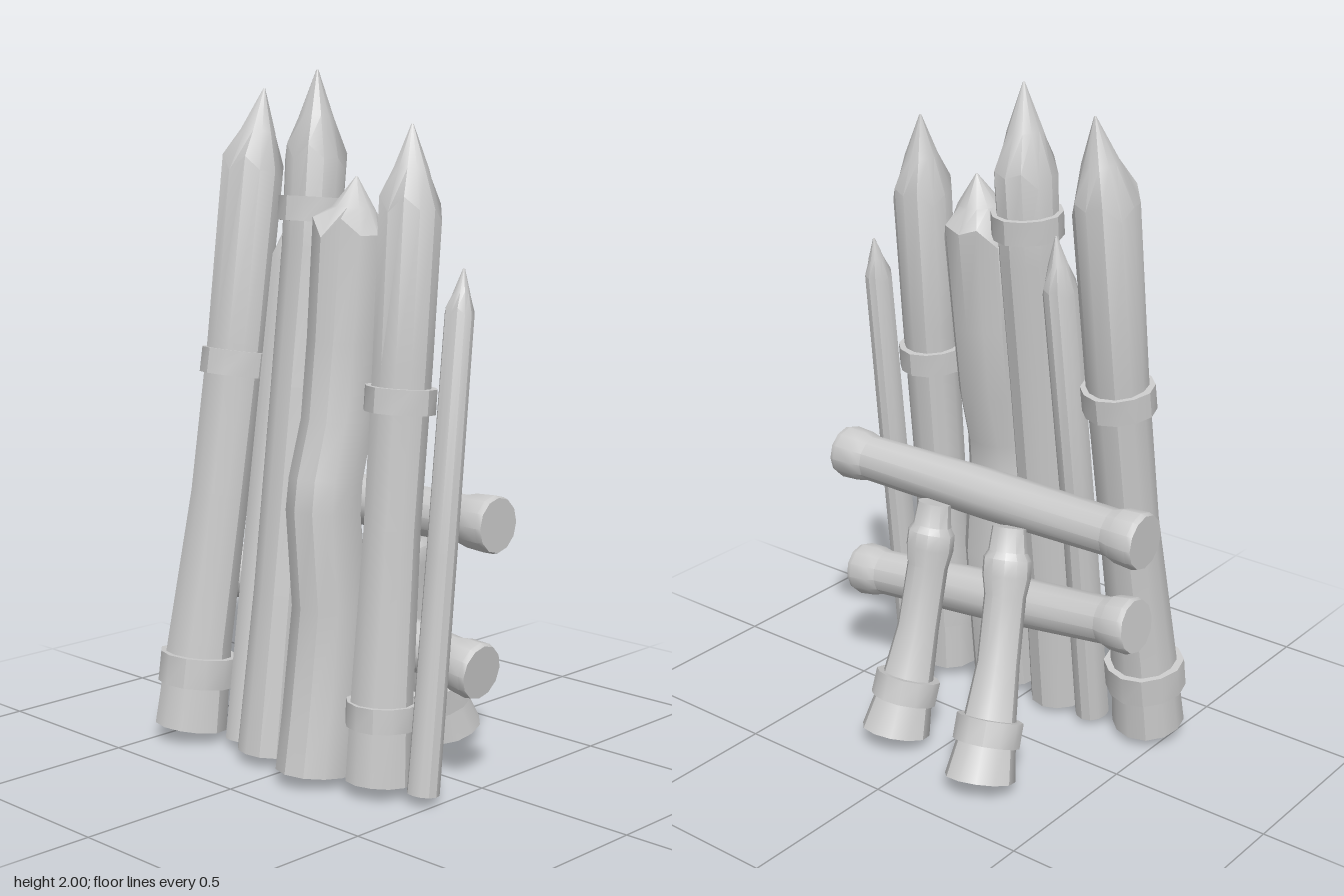
import * as THREE from 'three';
import { toCreasedNormals } from 'three/addons/utils/BufferGeometryUtils.js';

const SIDES = 12;
const UP = new THREE.Vector3(0, 1, 0);
const material = new THREE.MeshStandardMaterial({ color: 0xcccccc });

// Loft round sections [x, y, z, radius] along one axis; both ends are capped.
// wobble(angle) scales the radius, lift(ring, side) shifts a vertex along the axis.
function loft(sections, wobble = () => 1, lift = () => 0) {
  const centre = (s) => new THREE.Vector3(s[0], s[1], s[2]);
  const first = sections[0], last = sections[sections.length - 1];
  const axis = centre(last).sub(centre(first)).normalize();
  const turn = new THREE.Quaternion().setFromUnitVectors(UP, axis);
  const pos = [], index = [];
  sections.forEach((s, i) => {
    for (let j = 0; j < SIDES; j++) {
      const a = (j / SIDES) * Math.PI * 2, r = s[3] * wobble(a);
      const v = new THREE.Vector3(Math.sin(a) * r, lift(i, j), Math.cos(a) * r);
      pos.push(...v.applyQuaternion(turn).add(centre(s)).toArray());
    }
  });
  for (let i = 0; i < sections.length - 1; i++) {
    for (let j = 0; j < SIDES; j++) {
      const a = i * SIDES + j, b = i * SIDES + (j + 1) % SIDES;
      index.push(a, b, b + SIDES, a, b + SIDES, a + SIDES);
    }
  }
  const n = sections.length * SIDES, top = n - SIDES;
  pos.push(...centre(first).toArray(), ...centre(last).toArray());
  for (let j = 0; j < SIDES; j++) {
    const k = (j + 1) % SIDES;
    index.push(n, k, j, n + 1, top + j, top + k);
  }
  const geo = new THREE.BufferGeometry();
  geo.setAttribute('position', new THREE.Float32BufferAttribute(pos, 3));
  geo.setIndex(index);
  return toCreasedNormals(geo, 0.56);
}

function add(parent, name, geo) {
  const mesh = new THREE.Mesh(geo, material);
  mesh.name = name;
  parent.add(mesh);
}

// Binding ring around a path at height y, following its lean
function band(parent, path, y, h, r) {
  const i = Math.max(1, path.findIndex((s) => s[1] >= y));
  const a = new THREE.Vector3(...path[i - 1]), b = new THREE.Vector3(...path[i]);
  const mid = a.clone().lerp(b, (y - a.y) / (b.y - a.y));
  const dir = b.sub(a).normalize().multiplyScalar(h / 2);
  const p = mid.clone().sub(dir).toArray(), q = mid.clone().add(dir).toArray();
  add(parent, 'band', loft([[...p, r], [...q, r]], (t) => 1 + 0.02 * Math.sin(4 * t + y)));
}

// Sharpened stake: body sections, a carved tip and optional bands [y, height, radius]
function stake(parent, name, body, tip, bands = []) {
  const group = new THREE.Group();
  group.name = name;
  const end = body[body.length - 1], shoulder = body.length - 1;
  const mid = [0, 1, 2].map((k) => end[k] + (tip[k] - end[k]) * 0.5);
  // Carved facets: every second shoulder vertex sits higher, tilted to one side
  const cut = (i, j) => (i === shoulder ? end[3] * (0.3 * (j % 2) + 0.2 * Math.sin(j * 1.3)) : 0);
  add(group, 'stakeBody', loft([...body, [...mid, end[3] * 0.56], [...tip, 0.003]],
    (a) => 1 + 0.025 * Math.sin(3 * a + tip[0] * 9), cut));
  bands.forEach(([y, h, r]) => band(group, body, y, h, r));
  parent.add(group);
}

export function createModel() {
  const model = new THREE.Group();
  model.name = 'palisade';

  // Row of stakes leaning back
  stake(model, 'outerStake',
    [[-0.43, 0.04, 0.27, 0.11], [-0.425, 0.3, 0.235, 0.098], [-0.405, 0.75, 0.165, 0.088],
      [-0.395, 1.2, 0.1, 0.09], [-0.382, 1.7, 0.045, 0.094]],
    [-0.36, 1.95, 0.015], [[0.215, 0.09, 0.12], [1.14, 0.075, 0.107]]);
  stake(model, 'thinStake',
    [[-0.25, 0.025, 0.225, 0.052], [-0.25, 0.7, 0.135, 0.05], [-0.24, 1.44, 0.035, 0.05]],
    [-0.235, 1.6, 0.02]);
  stake(model, 'tallStake',
    [[-0.11, 0.03, 0.25, 0.093], [-0.107, 0.5, 0.195, 0.084], [-0.103, 1.1, 0.125, 0.084],
      [-0.1, 1.5, 0.078, 0.086], [-0.1, 1.74, 0.058, 0.09]],
    [-0.09, 2.0, 0.06], [[1.605, 0.07, 0.105]]);
  stake(model, 'bulgingStake',
    [[0.112, 0.035, 0.28, 0.115], [0.11, 0.2, 0.255, 0.112], [0.11, 0.5, 0.22, 0.108],
      [0.11, 0.78, 0.242, 0.108], [0.108, 0.87, 0.23, 0.106], [0.108, 1.03, 0.185, 0.104],
      [0.11, 1.25, 0.16, 0.106], [0.112, 1.53, 0.135, 0.112]],
    [0.11, 1.705, 0.105]);
  stake(model, 'bandedStake',
    [[0.315, 0.04, 0.225, 0.096], [0.313, 0.3, 0.21, 0.088], [0.31, 0.75, 0.17, 0.08],
      [0.314, 1.2, 0.135, 0.084], [0.317, 1.61, 0.11, 0.088]],
    [0.31, 1.85, 0.095], [[0.23, 0.07, 0.102], [1.105, 0.07, 0.102]]);
  stake(model, 'thinStake',
    [[0.46, 0.03, 0.2, 0.046], [0.46, 0.7, 0.13, 0.043], [0.457, 1.34, 0.063, 0.041]],
    [0.455, 1.465, 0.045]);

  // Crossbars with thicker ends
  const crossbar = (name, a, b) => {
    const sections = [[0, 0.08], [0.015, 0.085], [0.07, 0.081], [0.1, 0.07], [0.5, 0.076],
      [0.9, 0.07], [0.93, 0.078], [0.985, 0.082], [1, 0.077]];
    add(model, name, loft(sections.map(([t, r]) =>
      [...a.map((v, k) => v + (b[k] - v) * t), r])));
  };
  crossbar('upperCrossbar', [-0.56, 0.77, 0.02], [0.555, 0.768, 0.008]);
  crossbar('lowerCrossbar', [-0.52, 0.48, 0.05], [0.53, 0.355, 0.042]);

  // Rear props with flared feet and knobbed heads
  const prop = (footX, footZ, headX) => {
    const group = new THREE.Group();
    group.name = 'rearProp';
    const headZ = -0.065;
    const path = [[0, 0.104], [0.22, 0.078], [0.45, 0.063], [0.72, 0.062], [0.8, 0.072],
      [0.87, 0.071], [0.9, 0.058], [1, 0.05]].map(([t, r]) =>
      [footX + (headX - footX) * t, 0.04 + 0.69 * t,
        footZ + (headZ - footZ) * t + 0.025 * Math.sin(Math.PI * t), r]);
    add(group, 'propBody', loft(path, (a) => 1 + 0.02 * Math.sin(3 * a)));
    band(group, path, 0.165, 0.075, 0.098);
    model.add(group);
  };
  prop(-0.23, -0.31, -0.145);
  prop(0.14, -0.255, 0.137);

  return model;
}
